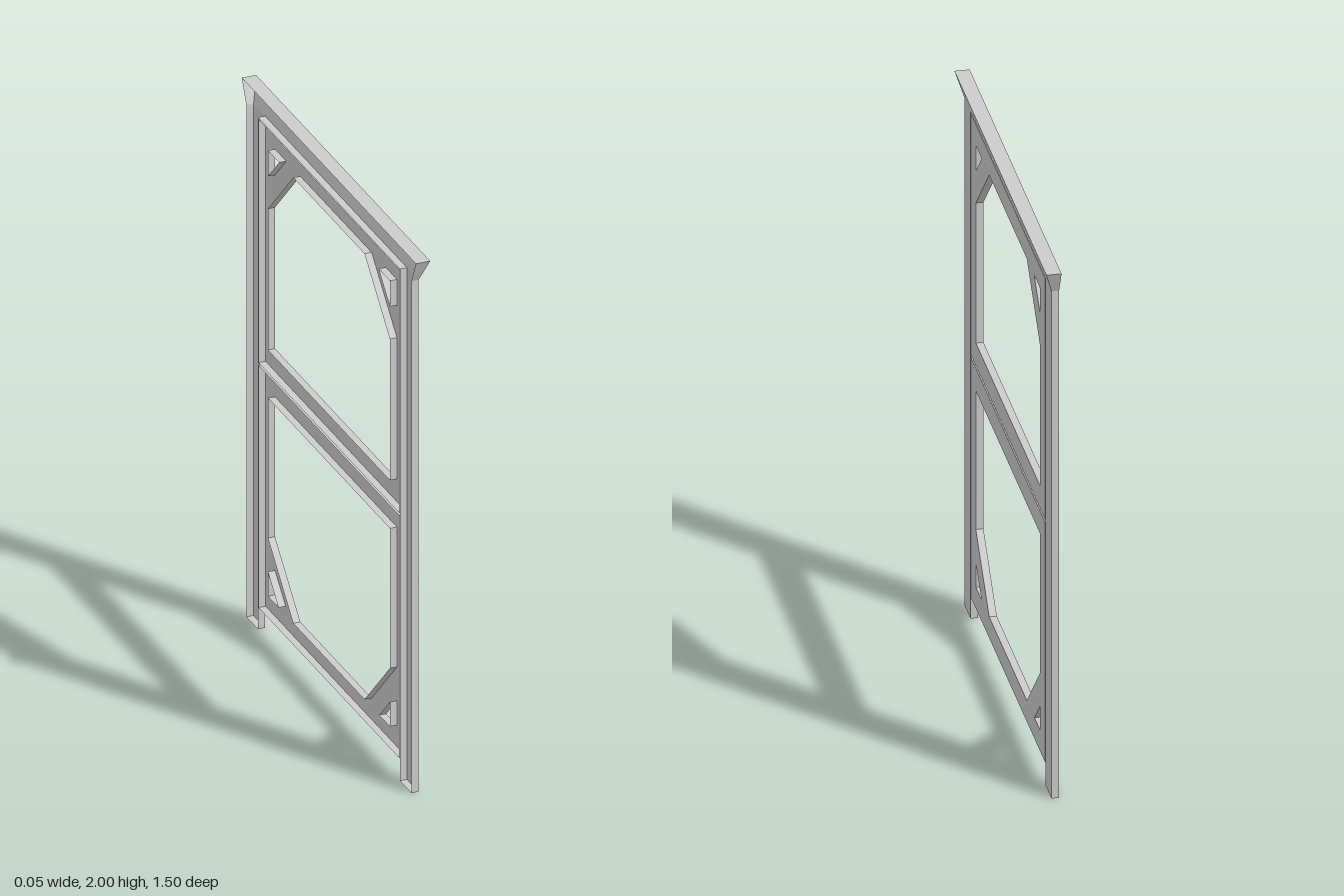
import * as THREE from 'three';

const DEPTH = 0.026;          // thickness of the panel, front skin lies at x = 0
const FLARE = 0.026;          // how far the cornice leans forward
const material = new THREE.MeshStandardMaterial({ color: 0xcccccc, flatShading: true, side: THREE.DoubleSide });

const points = list => list.map(([x, y]) => new THREE.Vector2(x, y));
const rect = (x0, y0, x1, y1) => [[x0, y0], [x1, y0], [x1, y1], [x0, y1]];

// Hollow, open-backed shell: front skin plus side walls running along each outline.
// Drawn in the xy plane, then turned so the skin faces +x. lean(y) moves the skin forward.
function shell(name, skins, outlines, holes = [], lean = () => 0) {
  const pos = [];
  for (const skin of skins) {
    const shape = new THREE.Shape(points(skin));
    shape.holes = holes.map(h => new THREE.Path(points(h)));
    const p = new THREE.ShapeGeometry(shape).toNonIndexed().attributes.position;
    for (let i = 0; i < p.count; i++) pos.push(p.getX(i), p.getY(i), lean(p.getY(i)));
  }
  const wall = (list, clockwise) => {
    const v = points(list);
    if (THREE.ShapeUtils.isClockWise(v) !== clockwise) v.reverse();
    v.forEach((a, i) => {
      const b = v[(i + 1) % v.length], fa = lean(a.y), fb = lean(b.y);
      pos.push(a.x, a.y, -DEPTH, b.x, b.y, -DEPTH, b.x, b.y, fb);
      pos.push(a.x, a.y, -DEPTH, b.x, b.y, fb, a.x, a.y, fa);
    });
  };
  outlines.forEach(o => wall(o, false));
  holes.forEach(h => wall(h, true));
  const geometry = new THREE.BufferGeometry();
  geometry.setAttribute('position', new THREE.Float32BufferAttribute(pos, 3));
  geometry.rotateY(Math.PI / 2);
  geometry.computeVertexNormals();
  const mesh = new THREE.Mesh(geometry, material);
  mesh.name = name;
  return mesh;
}

// Sash with two braced corners. The braced edge is at yBrace, the plain rail at yPlain.
function sash(name, y0, y1, yBrace, yPlain, tri) {
  const w = 0.525, s = Math.sign(yPlain - yBrace), cut = 0.218;
  const opening = [
    [-w, yPlain], [w, yPlain], [w, yBrace + s * cut],
    [w - cut, yBrace], [-w + cut, yBrace], [-w, yBrace + s * cut],
  ];
  const corners = [-1, 1].map(m => [
    [m * w, yBrace], [m * (w - tri), yBrace], [m * w, yBrace + s * tri],
  ]);
  const outline = rect(-0.606, y0, 0.606, y1);
  return shell(name, [outline], [outline], [opening, ...corners]);
}

export function createModel() {
  const model = new THREE.Group();
  model.name = 'windowFrame';

  // Outer frame: two posts and a flared cornice
  const inner = 0.611, outer = 0.71, top = 0.75, neck = 1.916;
  const cornice = [[-outer, neck], [-inner, neck], [inner, neck], [outer, neck], [top, 2], [-top, 2]];
  const posts = [rect(-outer, 0, -inner, neck), rect(inner, 0, outer, neck)];
  const outline = [
    [-outer, 0], [-inner, 0], [-inner, neck], [inner, neck], [inner, 0],
    [outer, 0], [outer, neck], [top, 2], [-top, 2], [-outer, neck],
  ];
  model.add(shell('outerFrame', [...posts, cornice], [outline], [], y => (y > 1.95 ? FLARE : 0)));

  // Upper and lower sashes, separated by a thin gap
  model.add(sash('upperSash', 1.0, 1.911, 1.832, 1.085, 0.097));
  model.add(sash('lowerSash', 0.083, 0.99, 0.163, 0.905, 0.092));
  return model;
}
